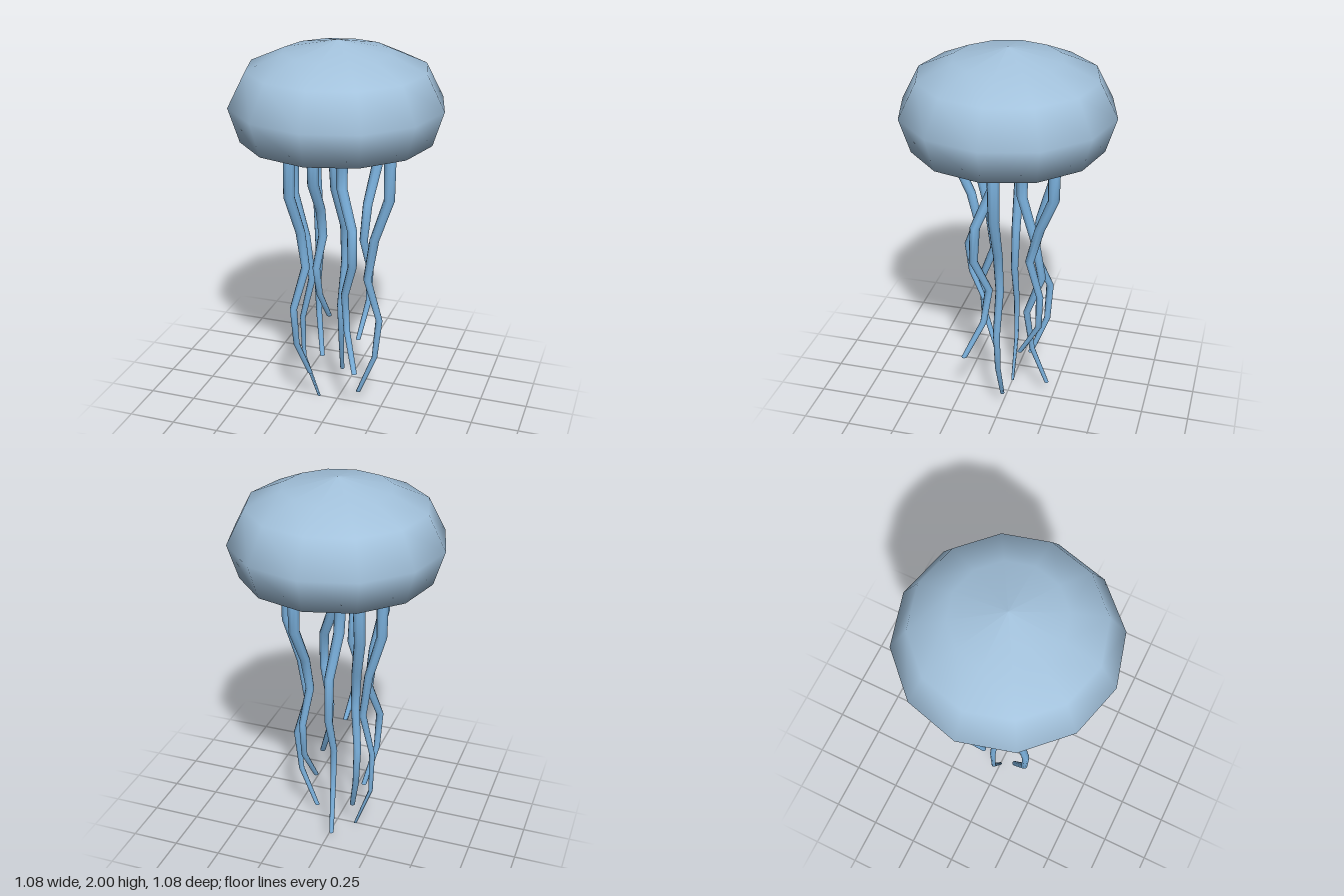
import * as THREE from 'three';
import { mergeVertices, toCreasedNormals } from 'three/addons/utils/BufferGeometryUtils.js';

const bellBlue = new THREE.MeshStandardMaterial({ color: 0xa3c2dc });
bellBlue.name = 'paleBlue';
const tentacleBlue = new THREE.MeshStandardMaterial({ color: 0x7ab0dc });
tentacleBlue.name = 'skyBlue';

const TOP = 1.66;

// Tapered tube through eight evenly spaced levels from the bell's ceiling to the tip
function tentacle(xs, zs, tipY, tipRadius) {
  const n = xs.length - 1;
  let geo = new THREE.CylinderGeometry(1, 1, n, 8, n);
  geo.deleteAttribute('uv');
  geo.deleteAttribute('normal');
  geo = mergeVertices(geo);
  const p = geo.attributes.position;
  for (let i = 0; i < p.count; i++) {
    const row = Math.round(n / 2 - p.getY(i));
    const t = row / n;
    const r = THREE.MathUtils.lerp(0.036, tipRadius, t);
    p.setXYZ(i, xs[row] + p.getX(i) * r, THREE.MathUtils.lerp(TOP, tipY, t), zs[row] + p.getZ(i) * r);
  }
  const mesh = new THREE.Mesh(toCreasedNormals(geo, 1.0), tentacleBlue);
  mesh.name = 'tentacle';
  return mesh;
}

export function createModel() {
  const model = new THREE.Group();
  model.name = 'jellyfish';

  // Bell: hollow underside, rim, then the dome
  const profile = [
    [0, 1.68], [0.28, 1.64], [0.485, 1.515], [0.54, 1.69], [0.45, 1.865], [0.27, 1.945], [0, 2],
  ].map(([r, y]) => new THREE.Vector2(r, y));
  const bell = new THREE.Mesh(new THREE.LatheGeometry(profile, 12), bellBlue);
  bell.name = 'bell';
  model.add(bell);

  // Tentacles: x and z of each level, height and radius of the tip
  const flat = new Array(8).fill(0);
  const sideX = [-0.17, -0.18, -0.185, -0.15, -0.135, -0.175, -0.165, -0.12];
  const sideZ = [0.17, 0.2, 0.2, 0.14, 0.11, 0.19, 0.18, 0.1];
  const tentacles = new THREE.Group();
  tentacles.name = 'tentacles';
  tentacles.add(
    // left and right
    tentacle([0.21, 0.275, 0.275, 0.2, 0.165, 0.232, 0.21, 0.12], flat, 0.07, 0.012),
    tentacle([-0.19, -0.235, -0.235, -0.17, -0.14, -0.195, -0.19, -0.105], flat, 0, 0.008),
    // front and back
    tentacle([-0.02, -0.03, -0.03, -0.02, -0.02, -0.035, -0.025, 0], [0.2, 0.275, 0.275, 0.2, 0.165, 0.225, 0.205, 0.13], 0.58, 0.014),
    tentacle([-0.03, -0.04, -0.03, -0.005, -0.015, -0.015, -0.02, -0.04], [-0.13, -0.065, -0.065, -0.14, -0.18, -0.1, -0.13, -0.21], 0.07, 0.012),
    // front left and back left
    tentacle([0.08, 0.05, 0.045, 0.125, 0.13, 0.07, 0.09, 0.16], [0.13, 0.075, 0.065, 0.14, 0.15, 0.085, 0.11, 0.2], 0.3, 0.015),
    tentacle([0.11, 0.13, 0.13, 0.105, 0.1, 0.12, 0.115, 0.09], [-0.2, -0.265, -0.265, -0.19, -0.14, -0.2, -0.195, -0.09], 0.34, 0.013),
    // front right and back right
    tentacle(sideX, sideZ, 0.2, 0.014),
    tentacle(sideX, sideZ.map((z) => -z), 0.2, 0.014),
  );
  model.add(tentacles);
  return model;
}
